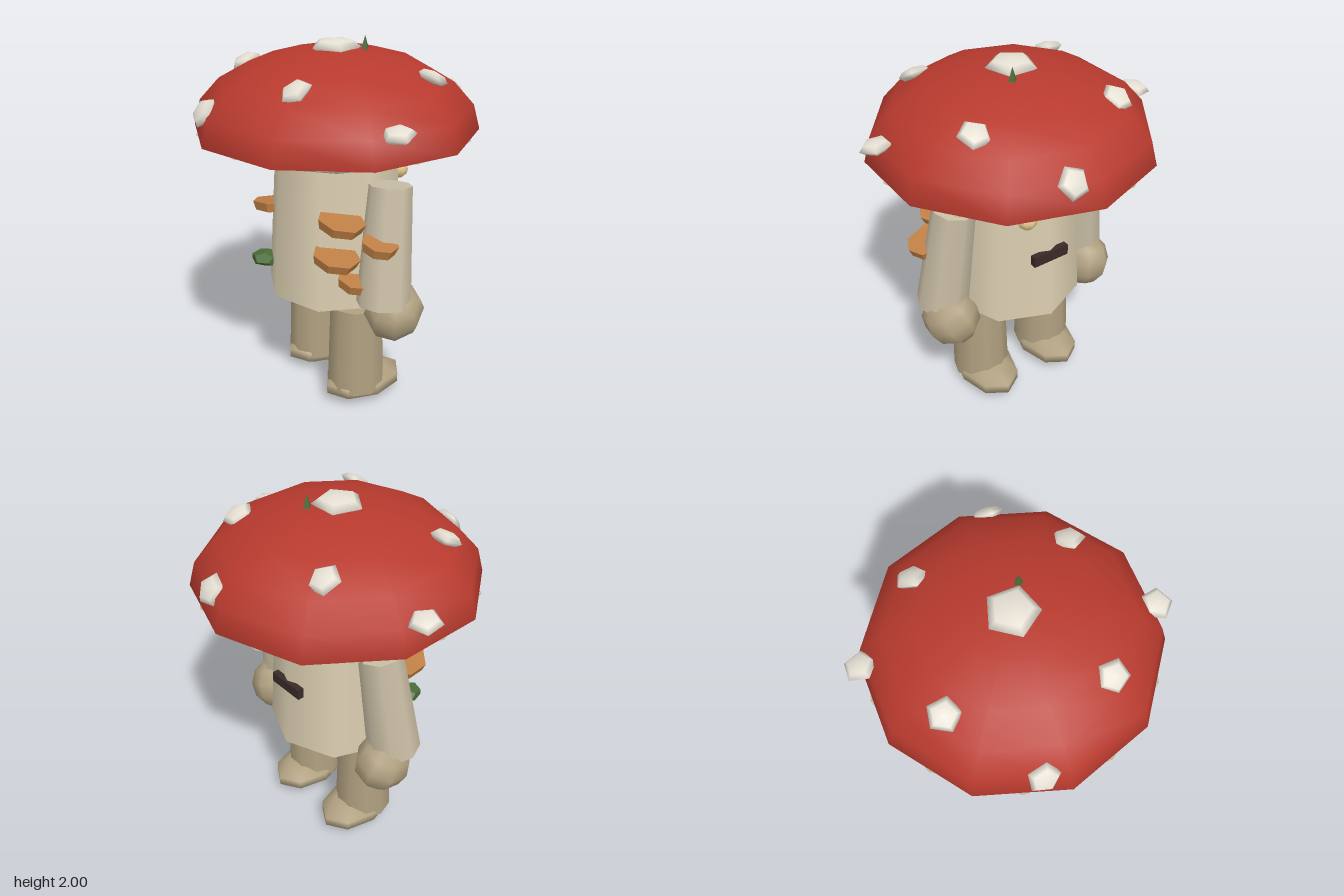
import * as THREE from 'three';

const paint = (color, extra = {}) => new THREE.MeshStandardMaterial({ color, ...extra });
const MAT = {
  cap: paint(0xb83a2e, { side: THREE.DoubleSide }),
  gills: paint(0xc0b294, { side: THREE.DoubleSide }),
  body: paint(0xdacdb0),
  arm: paint(0xcbbfa6),
  limb: paint(0xb0a080),
  spot: paint(0xe6e0d4),
  shelf: paint(0xbf7f45, { flatShading: true }),
  moss: paint(0x4a6b38, { flatShading: true }),
  eye: paint(0xe6cc90),
  dark: paint(0x3a2a28),
};

export function createModel() {
  const model = new THREE.Group();

  const add = (name, geometry, material, position, rotation = [0, 0, 0], scale = [1, 1, 1]) => {
    const mesh = new THREE.Mesh(geometry, material);
    mesh.name = name;
    mesh.position.set(...position);
    mesh.rotation.set(...rotation);
    mesh.scale.set(...scale);
    model.add(mesh);
    return mesh;
  };

  // Tapered cylinder running between two points
  const limb = (name, top, bottom, rTop, rBottom, sides, material) => {
    const a = new THREE.Vector3(...top), b = new THREE.Vector3(...bottom);
    const axis = a.clone().sub(b);
    const mesh = add(name, new THREE.CylinderGeometry(rTop, rBottom, axis.length(), sides), material,
      a.clone().add(b).multiplyScalar(0.5).toArray());
    mesh.quaternion.setFromUnitVectors(new THREE.Vector3(0, 1, 0), axis.normalize());
  };

  // Trunk and collar
  add('trunk', new THREE.CylinderGeometry(0.327, 0.38, 0.8, 8), MAT.body, [0, 1.04, 0]);
  add('collar', new THREE.TorusGeometry(0.35, 0.037, 5, 12), MAT.body, [0, 1.435, 0], [Math.PI / 2, 0, 0]);

  // Cap: dome and gill cone
  add('cap', new THREE.SphereGeometry(0.74, 10, 5, 0, Math.PI * 2, 0, Math.PI / 2), MAT.cap,
    [0, 1.535, 0], [0, 0, 0], [1, 0.41 / 0.74, 1]);
  add('gills', new THREE.CylinderGeometry(0.715, 0.34, 0.085, 10), MAT.gills, [0, 1.493, 0]);

  // Cap spots: one on top, four on the inner ring, four on the outer ring
  const spotGeometry = new THREE.SphereGeometry(1, 5, 4);
  add('topSpot', spotGeometry, MAT.spot, [0, 1.945, 0], [0, 0, 0], [0.13, 0.04, 0.13]);
  const spots = [
    [0.3, 1.83, 0.4], [-0.4, 1.83, 0.31], [-0.29, 1.83, -0.43], [0.38, 1.83, -0.34],
    [0.66, 1.675, 0.13], [-0.1, 1.68, 0.69], [-0.67, 1.675, -0.12], [0.12, 1.68, -0.7],
  ];
  spots.forEach(([x, y, z], i) => {
    const tilt = new THREE.Group();
    tilt.name = 'capSpot';
    tilt.position.set(x, y, z);
    tilt.rotation.set(z * 0.2, 0, -x * 1.4);
    const spot = new THREE.Mesh(spotGeometry, MAT.spot);
    spot.scale.set(0.083, 0.032, 0.083);
    spot.rotation.y = i * 1.3;
    tilt.add(spot);
    model.add(tilt);
  });
  add('sprout', new THREE.ConeGeometry(0.027, 0.08, 4), MAT.moss, [0.125, 1.96, 0.08]);

  // Mirrored arms, hands, legs, feet and eyes; the face looks along +x
  for (const s of [1, -1]) {
    limb('arm', [0.077, 1.32, 0.395 * s], [0.01, 0.7, 0.457 * s], 0.112, 0.143, 8, MAT.arm);
    add('hand', new THREE.SphereGeometry(0.16, 8, 6), MAT.limb, [0.083, 0.632, 0.452 * s],
      [0.3 * s, 0.3, 0.3], [1.04, 0.98, 0.95]);
    add('leg', new THREE.CylinderGeometry(0.145, 0.162, 0.51, 10), MAT.limb, [0, 0.345, 0.22 * s]);
    add('foot', new THREE.SphereGeometry(1, 8, 5), MAT.limb, [0.05, 0.092, 0.215 * s],
      [0, 0, 0], [0.247, 0.088, 0.167]);
    add('eye', new THREE.SphereGeometry(0.052, 8, 6), MAT.eye, [0.322, 1.28, 0.127 * s]);
  }
  add('brow', new THREE.BoxGeometry(0.045, 0.042, 0.335), MAT.dark, [0.332, 1.358, 0], [0, 0, -0.1]);
  add('mouth', new THREE.BoxGeometry(0.035, 0.058, 0.21), MAT.dark, [0.348, 1.026, 0]);

  // Shelf fungi: [x, y, z, radius]
  const shelves = [
    [-0.17, 1.14, 0.33, 0.125], [-0.055, 1.055, 0.5, 0.095], [-0.2, 0.955, 0.33, 0.125],
    [-0.1, 0.81, 0.36, 0.1], [-0.22, 1.05, -0.27, 0.13],
  ];
  for (const [x, y, z, r] of shelves) {
    add('shelfFungus', new THREE.CylinderGeometry(r, r * 0.88, 0.05, 7), MAT.shelf,
      [x, y, z], [z > 0 ? 0.2 : -0.15, 0, -0.1]);
  }

  // Moss clumps
  const moss = new THREE.DodecahedronGeometry(1);
  add('mossClump', moss, MAT.moss, [0.23, 1.363, -0.31], [0, 0.3, 0], [0.07, 0.042, 0.068]);
  add('mossClump', moss, MAT.moss, [-0.31, 0.76, -0.23], [0, 0.8, 0], [0.085, 0.042, 0.09]);

  return model;
}
